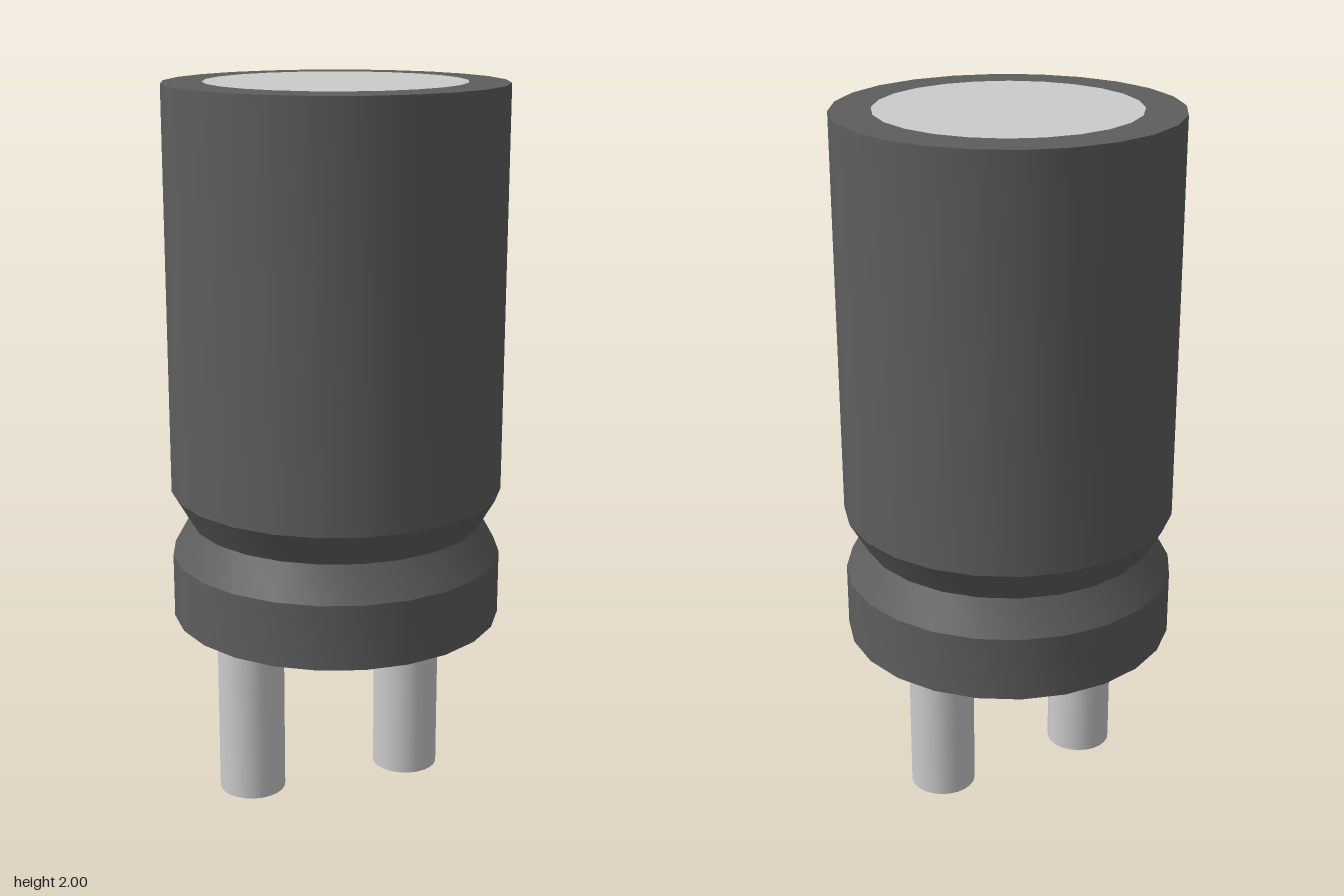
import * as THREE from 'three';
import { toCreasedNormals } from 'three/addons/utils/BufferGeometryUtils.js';

const SIDES = 24;

export function createModel() {
  const group = new THREE.Group();
  const sleeve = new THREE.MeshStandardMaterial({ color: 0x5e5e5e });
  const metal = new THREE.MeshStandardMaterial({ color: 0xcccccc });

  const add = (name, geometry, material, x = 0, y = 0, z = 0) => {
    const mesh = new THREE.Mesh(geometry, material);
    mesh.name = name;
    mesh.position.set(x, y, z);
    group.add(mesh);
    return mesh;
  };

  // Sleeved can with a crimped groove near the base
  const profile = [
    [0, 0.51], [0.465, 0.51], [0.465, 0.692], [0.412, 0.788],
    [0.465, 0.88], [0.465, 1.998], [0, 1.998],
  ].map(([r, y]) => new THREE.Vector2(r, y));
  const can = new THREE.LatheGeometry(profile, SIDES, THREE.MathUtils.degToRad(5));
  add('body', toCreasedNormals(can, 0.4), sleeve);

  // Bare metal disc on the top
  const disc = new THREE.CircleGeometry(0.355, SIDES).rotateX(-Math.PI / 2);
  add('topDisc', disc, metal, 0, 2, 0);

  // Two round leads, slightly off the centre, with dark cut ends
  const lead = new THREE.CylinderGeometry(0.094, 0.094, 0.52, SIDES);
  for (const [name, x] of [['leftLead', 0.207], ['rightLead', -0.267]]) {
    add(name, lead, [metal, metal, sleeve], x, 0.26, 0.031);
  }

  return group;
}
